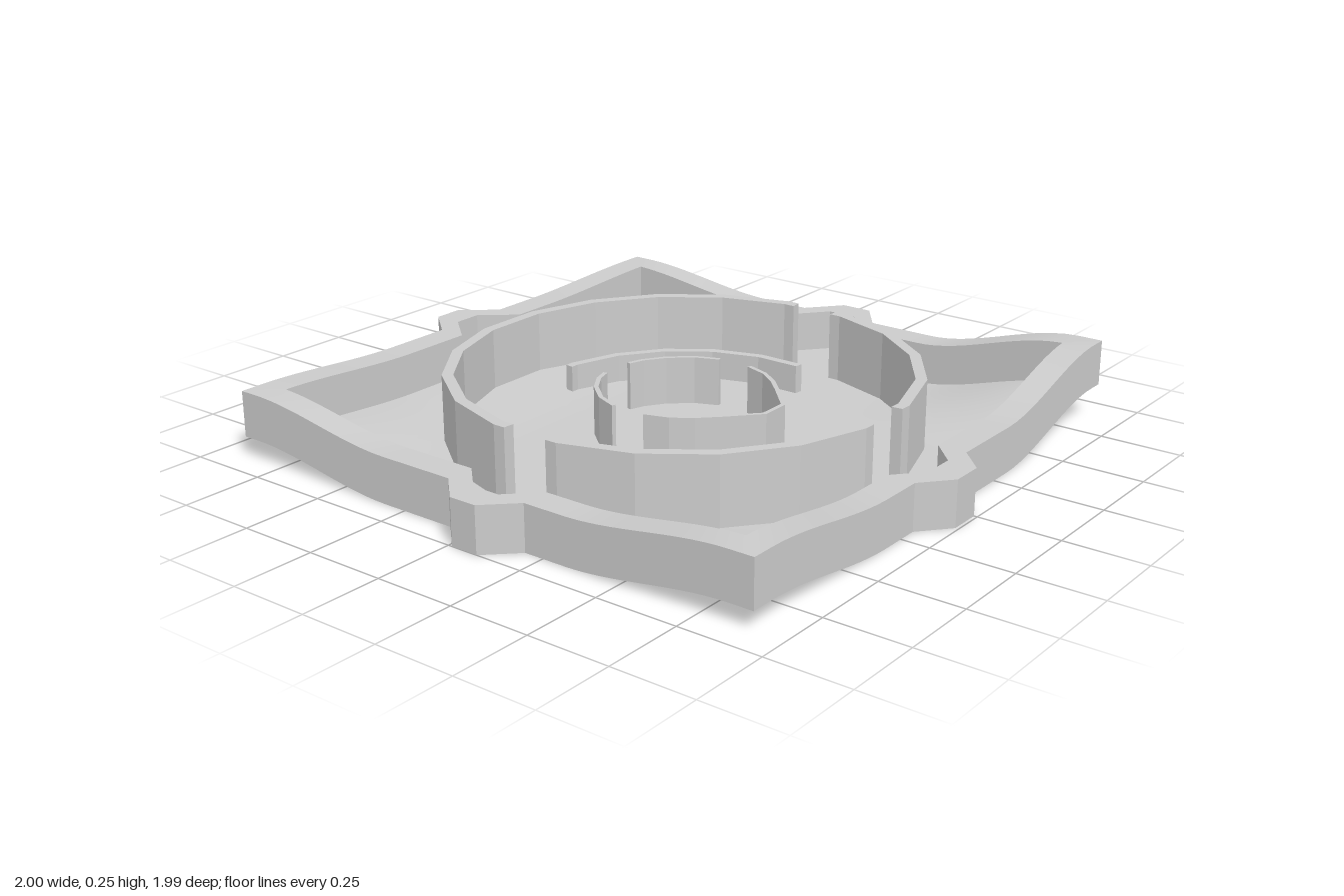
import * as THREE from 'three';
import { toCreasedNormals } from 'three/addons/utils/BufferGeometryUtils.js';

const WALL = 0.14, FLOOR = 0.01, INSET = 0.088;
const CX = -0.007, CZ = 0.012;

// Ground rise: flat in the middle, lifted at the corners and along the back
const ease = (v) => THREE.MathUtils.smoothstep(v, 0.32, 0.84);
function rise(x, z) {
  const sx = ease(Math.abs(x)), sz = ease(Math.abs(z));
  if (z > 0) return sz * sx * (x > 0 ? 0.105 : 0.055);
  return sz * THREE.MathUtils.lerp(0.035, x > 0 ? 0.052 : 0.062, sx);
}

// Square outline with a tab on every side: x, z and the inward direction
const OUTLINE = [
  [0.893, 0.913, -1, -1], [0.893, 0.10, -1, 0], [1, 0.02, -1, 0], [1, -0.08, -1, 0], [0.893, -0.17, -1, 0],
  [0.893, -0.895, -1, 1], [0.17, -0.895, 0, 1], [0.08, -1, 0, 1], [-0.01, -1, 0, 1], [-0.10, -0.895, 0, 1],
  [-0.913, -0.895, 1, 1], [-0.913, -0.077, 1, 0], [-1, 0.013, 1, 0], [-1, 0.10, 1, 0], [-0.913, 0.19, 1, 0],
  [-0.913, 0.913, 1, -1], [-0.19, 0.913, 0, -1], [-0.10, 0.99, 0, -1], [0, 0.99, 0, -1], [0.08, 0.913, 0, -1],
];

// One loop round the outline, inset, scaled to the centre and draped over the ground
function loop(inset, scale, lift) {
  const pts = OUTLINE.map(([x, z, dx, dz]) => [(x + dx * inset) * scale, (z + dz * inset) * scale]);
  const out = [];
  pts.forEach((a, i) => {
    const b = pts[(i + 1) % pts.length];
    const n = i % 5 === 0 || i % 5 === 4 ? 20 : 2;
    for (let k = 0; k < n; k++) {
      const x = THREE.MathUtils.lerp(a[0], b[0], k / n);
      const z = THREE.MathUtils.lerp(a[1], b[1], k / n);
      out.push([x, rise(x, z) + lift, z]);
    }
  });
  return out;
}

// Joins successive loops with strips of faces
function skin(loops) {
  const n = loops[0].length, index = [];
  for (let i = 0; i < loops.length - 1; i++) {
    for (let j = 0; j < n; j++) {
      const a = i * n + j, b = i * n + (j + 1) % n;
      index.push(a, b, b + n, a, b + n, a + n);
    }
  }
  const g = new THREE.BufferGeometry();
  g.setAttribute('position', new THREE.Float32BufferAttribute(loops.flat(2), 3));
  g.setIndex(index);
  return toCreasedNormals(g, Math.PI / 6);
}

// Points along a twenty-sided ring; angles in degrees, clockwise from the back
function arc(radius, from, to) {
  const angles = [from];
  for (let a = -171; a < 360; a += 18) if (a > from && a < to) angles.push(a);
  angles.push(to);
  return angles.map((a) => {
    const off = a - Math.round(a / 18) * 18;
    const r = radius * Math.cos(Math.PI / 20) / Math.cos(THREE.MathUtils.degToRad(off));
    const t = THREE.MathUtils.degToRad(a);
    return [CX + r * Math.sin(t), CZ - r * Math.cos(t)];
  });
}

// Upright wall along a path, thickened towards the centre
function wallGeometry(path, thick, bottom, top) {
  const inner = path.map(([x, z]) => {
    const k = 1 - thick / Math.hypot(x - CX, z - CZ);
    return [CX + (x - CX) * k, CZ + (z - CZ) * k];
  });
  const shape = new THREE.Shape([...path, ...inner.reverse()].map(([x, z]) => new THREE.Vector2(x, -z)));
  const g = new THREE.ExtrudeGeometry(shape, { depth: top - bottom, bevelEnabled: false });
  return g.rotateX(-Math.PI / 2).translate(0, bottom, 0);
}

export function createModel() {
  const model = new THREE.Group();
  model.name = 'tray';
  const material = new THREE.MeshStandardMaterial({ color: 0xcccccc });
  const add = (name, geometry) => {
    const mesh = new THREE.Mesh(geometry, material);
    mesh.name = name;
    model.add(mesh);
  };

  // Rippled floor, underside and top
  const steps = Array.from({ length: 25 }, (_, i) => i / 24);
  add('floorUnderside', skin(steps.map((s) => loop(0, s, 0))));
  add('floorTop', skin(steps.map((s) => loop(INSET, 1 - s, FLOOR))));

  // Border wall following the floor
  add('borderWall', skin([loop(0, 1, 0), loop(0, 1, WALL), loop(INSET, 1, WALL), loop(INSET, 1, FLOOR)]));

  // Tall outer ring with gaps at both sides and at the front
  [[-84, 84], [96, 174], [186, 264]].forEach(([a, b]) =>
    add('outerRing', wallGeometry(arc(0.712, a, b), 0.034, 0.01, 0.225)));

  // Two low quarter arcs
  [[6, 98], [187, 276]].forEach(([a, b]) =>
    add('middleArc', wallGeometry(arc(0.518, a, b), 0.027, 0.006, 0.1)));

  // Inner enclosure: two back arcs and a front wall with a blunt point
  const mirror = (path) => path.map(([x, z]) => [2 * CX - x, z]);
  const backArc = [[0.05, -0.254], [0.1, -0.238], [0.165, -0.195], [0.225, -0.125], [0.256, -0.05]];
  const frontHalf = [[0.256, 0.065], [0.232, 0.14], [0.19, 0.2], [0.135, 0.255], [0.04, 0.341]];
  [backArc, mirror(backArc)].forEach((p) => add('innerArc', wallGeometry(p, 0.014, 0.006, 0.16)));
  add('innerFrontWall', wallGeometry([...frontHalf, ...mirror(frontHalf).reverse()], 0.014, 0.006, 0.16));

  return model;
}
